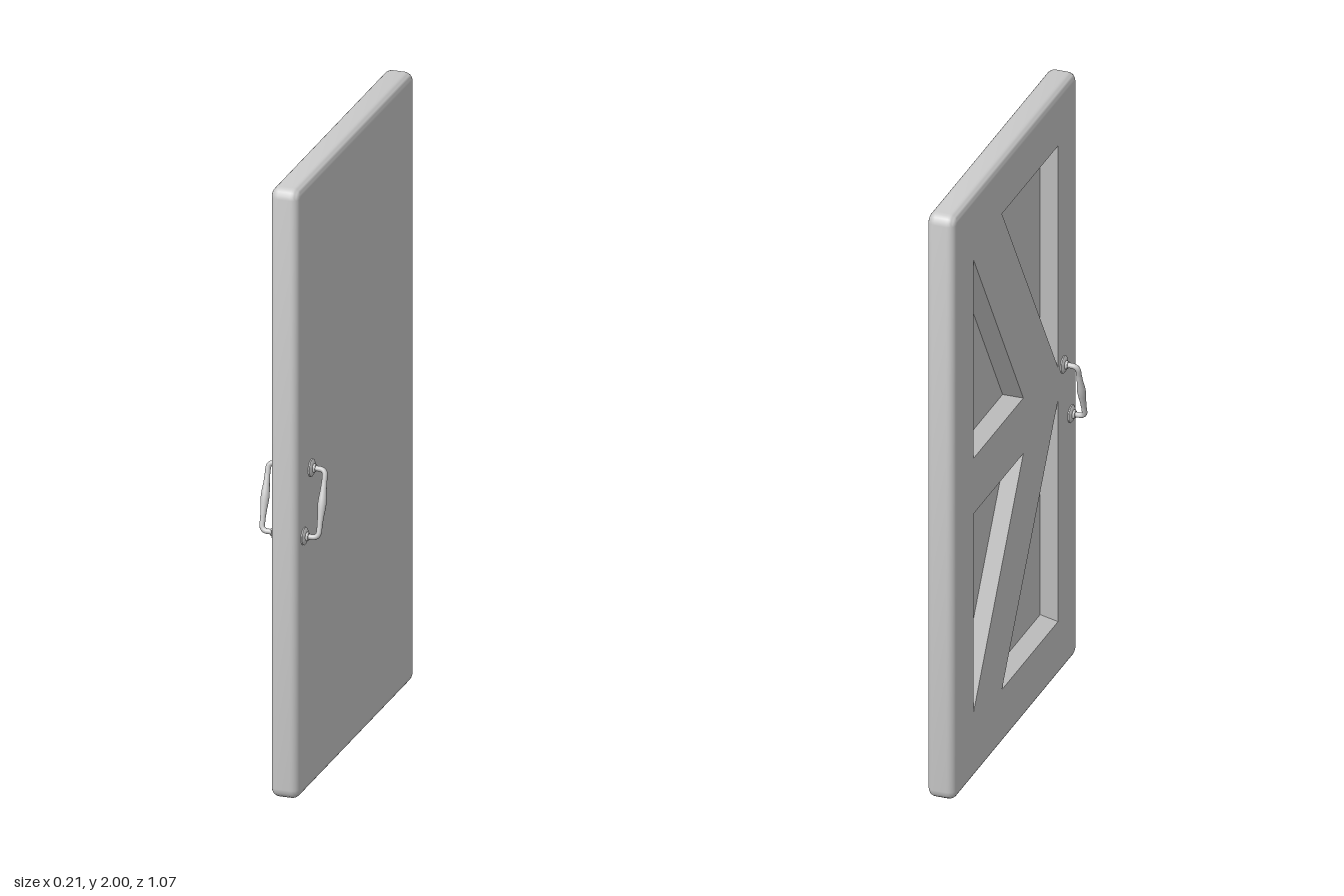
import * as THREE from 'three';
import { mergeGeometries, toCreasedNormals } from 'three/addons/utils/BufferGeometryUtils.js';

const HW = 0.535, H = 2, T = 0.045;      // half width, height, half thickness
const EDGE = 0.025, CORNER = 0.032;      // rounding of the edges and corners
const FLOOR = -0.002, SLOPE = 0.03;      // pocket floor level and wall slope

const material = new THREE.MeshStandardMaterial({ color: 0xcccccc });

// Skin between successive closed rings of points (anticlockwise, seen from the panelled face)
function loft(rings) {
  const pos = [];
  for (let i = 0; i < rings.length - 1; i++) {
    const r = rings[i], s = rings[i + 1], n = r.length;
    for (let j = 0; j < n; j++) {
      const k = (j + 1) % n;
      for (const p of [r[j], r[k], s[k], r[j], s[k], s[j]]) pos.push(p.x, p.y, p.z);
    }
  }
  const g = new THREE.BufferGeometry();
  g.setAttribute('position', new THREE.Float32BufferAttribute(pos, 3));
  return toCreasedNormals(g, 0.7);
}

const ringAt = (pts, w) => pts.map(p => new THREE.Vector3(p.x, p.y, w));

function cap(pts, w, holes = []) {
  const shape = new THREE.Shape(pts);
  shape.holes = holes.map(h => new THREE.Path(h));
  const g = new THREE.ShapeGeometry(shape).toNonIndexed();
  g.deleteAttribute('uv');
  return g.translate(0, 0, w);
}

// Door outline, drawn in by a given inset
function outline(inset) {
  const pts = [], corners = [[1, 1], [-1, 1], [-1, -1], [1, -1]];
  corners.forEach(([sx, sy], q) => {
    for (let k = 0; k <= 4; k++) {
      const a = (q + k / 4) * Math.PI / 2, r = CORNER - inset;
      pts.push(new THREE.Vector2(
        sx * (HW - CORNER) + r * Math.cos(a),
        H / 2 + sy * (H / 2 - CORNER) + r * Math.sin(a)));
    }
  });
  return pts;
}

// Triangle moved inwards by d on every side
function insetTriangle(t, d) {
  const [a, b, c] = t;
  const la = b.distanceTo(c), lb = c.distanceTo(a), lc = a.distanceTo(b), sum = la + lb + lc;
  const centre = new THREE.Vector2(
    (la * a.x + lb * b.x + lc * c.x) / sum, (la * a.y + lb * b.y + lc * c.y) / sum);
  const radius = Math.abs((b.x - a.x) * (c.y - a.y) - (c.x - a.x) * (b.y - a.y)) / sum;
  return t.map(p => p.clone().lerp(centre, d / radius));
}

function doorSlab() {
  // Four triangular pockets leave a frame, a middle rail and two diagonal braces
  const upper = [
    [[-0.365, 1.1], [0.065, 1.1], [-0.365, 1.78]],
    [[-0.12, 1.82], [0.365, 1.06], [0.365, 1.82]],
  ].map(t => t.map(p => new THREE.Vector2(...p)));
  const lower = upper.map(t => t.map(p => new THREE.Vector2(p.x, 2.01 - p.y)).reverse());
  const pockets = [...upper, ...lower];

  // Rounded rim from the plain face to the panelled face
  const rim = [], N = 6;
  for (const side of [-1, 1]) {
    for (let k = 0; k <= N; k++) {
      const t = (side < 0 ? k : N - k) / N * Math.PI / 2;
      rim.push(ringAt(outline(EDGE * (1 - Math.sin(t))), side * (T - EDGE * (1 - Math.cos(t)))));
    }
  }
  const face = outline(EDGE);
  const parts = [loft(rim), cap(face, T, pockets), cap(face, T).rotateY(Math.PI)];

  // Sloping pocket walls and floors
  for (const t of pockets) {
    const floor = insetTriangle(t, SLOPE);
    parts.push(loft([ringAt(t, T), ringAt(floor, FLOOR)]), cap(floor, FLOOR));
  }
  const mesh = new THREE.Mesh(mergeGeometries(parts).rotateY(-Math.PI / 2), material);
  mesh.name = 'doorSlab';
  return mesh;
}

// Slanting pull handle on the face towards side * x
function pullHandle(side) {
  const group = new THREE.Group();
  group.name = side > 0 ? 'leftHandle' : 'rightHandle';
  const add = (name, geometry) => {
    const m = new THREE.Mesh(geometry, material);
    m.name = name;
    group.add(m);
    return m;
  };
  const ends = [[1.05, 0.41], [0.85, 0.475]];
  const at = (x, [y, z]) => new THREE.Vector3(side * x, y, z);

  // Mounting plates
  const plate = [[0, -0.004], [0.028, -0.004], [0.028, 0.004], [0.022, 0.008],
    [0.014, 0.009], [0.012, 0.016], [0, 0.016]].map(p => new THREE.Vector2(...p));
  for (const e of ends) {
    const m = add('mountingPlate', toCreasedNormals(new THREE.LatheGeometry(plate, 24), 0.6));
    m.position.copy(at(T, e));
    m.rotation.z = -side * Math.PI / 2;
  }

  // Bent bar with rounded corners
  const OUT = 0.092, BEND = 0.02;
  const p = ends.map(e => at(OUT, e)), dir = p[1].clone().sub(p[0]).normalize();
  const a = p[0].clone().addScaledVector(dir, BEND), b = p[1].clone().addScaledVector(dir, -BEND);
  const path = new THREE.CurvePath();
  path.add(new THREE.LineCurve3(at(T, ends[0]), at(OUT - BEND, ends[0])));
  path.add(new THREE.QuadraticBezierCurve3(at(OUT - BEND, ends[0]), p[0], a));
  path.add(new THREE.LineCurve3(a, b));
  path.add(new THREE.QuadraticBezierCurve3(b, p[1], at(OUT - BEND, ends[1])));
  path.add(new THREE.LineCurve3(at(OUT - BEND, ends[1]), at(T, ends[1])));
  add('handleBar', new THREE.TubeGeometry(path, 60, 0.0085, 12, false));

  // Swelling grip in the middle of the bar
  const grip = [[0.008, -0.075], [0.01, -0.04], [0.0125, -0.018], [0.0135, 0],
    [0.0125, 0.018], [0.01, 0.04], [0.008, 0.075]].map(q => new THREE.Vector2(...q));
  const g = add('grip', new THREE.LatheGeometry(grip, 16));
  g.position.copy(p[0]).add(p[1]).multiplyScalar(0.5);
  g.quaternion.setFromUnitVectors(new THREE.Vector3(0, 1, 0), dir.clone().negate());
  return group;
}

export function createModel() {
  const model = new THREE.Group();
  model.name = 'door';
  model.add(doorSlab(), pullHandle(1), pullHandle(-1));
  // The door hangs very slightly turned about the vertical
  model.rotation.y = 0.0165;
  model.position.x = -0.01;
  const root = new THREE.Group();
  root.add(model);
  return root;
}
